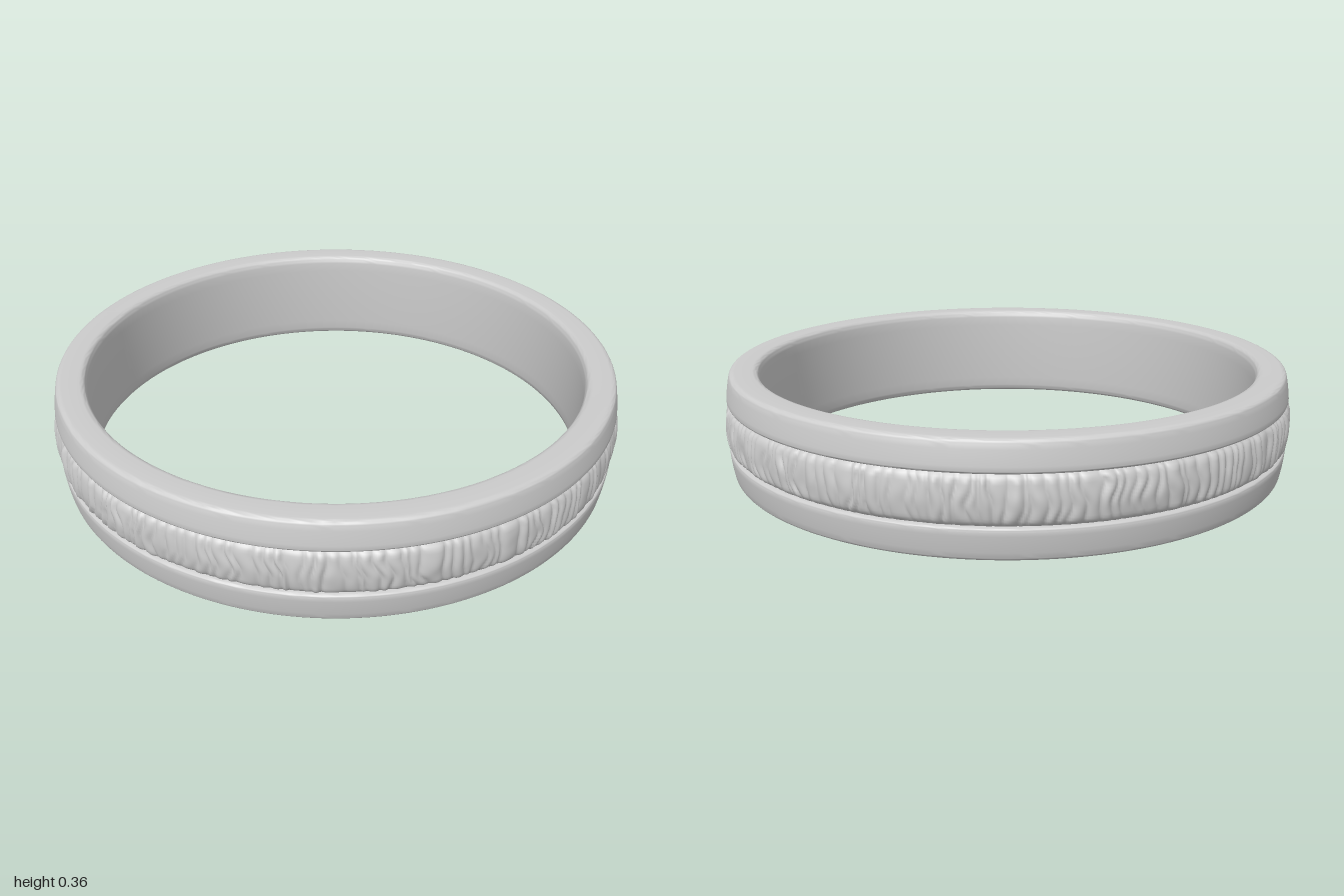
import * as THREE from 'three';
import { mergeVertices, toCreasedNormals } from 'three/addons/utils/BufferGeometryUtils.js';

const HEIGHT = 0.36, INNER = 0.87;
const BAND_LOW = 0.105, BAND_HIGH = 0.262;
const RIDGES = 170;

// Repeatable value in 0..1 for a pair of integers
function hash(i, j = 0) {
  const s = Math.sin(i * 127.1 + j * 311.7 + 17.3) * 43758.5453;
  return s - Math.floor(s);
}

// Smooth noise that wraps around the ring after n cells
function ringNoise(u, v, n) {
  const i = Math.floor(u), j = Math.floor(v);
  const fu = THREE.MathUtils.smoothstep(u - i, 0, 1), fv = THREE.MathUtils.smoothstep(v - j, 0, 1);
  const at = (a, b) => hash(((a % n) + n) % n, b);
  return THREE.MathUtils.lerp(
    THREE.MathUtils.lerp(at(i, j), at(i + 1, j), fu),
    THREE.MathUtils.lerp(at(i, j + 1), at(i + 1, j + 1), fu), fv);
}

// Height (0..1) of the irregular upright ridges; turn and up both run 0..1
function ridgeHeight(turn, up) {
  const wobble = ringNoise(turn * 90, up * 2.5, 90) - 0.5;
  const u = turn * RIDGES + wobble * 1.1;
  const wrap = i => ((i % RIDGES) + RIDGES) % RIDGES;
  const edge = i => i + (hash(wrap(i), 5) - 0.5) * 0.6;
  let k = Math.floor(u);
  if (u < edge(k)) k--;
  else if (u >= edge(k + 1)) k++;
  const t = (u - edge(k)) / (edge(k + 1) - edge(k));
  const bump = Math.pow(Math.max(0, Math.sin(Math.PI * t)), 0.7);
  return bump * (0.45 + 0.55 * hash(wrap(k), 9)) * (0.7 + 0.3 * ringNoise(turn * 120, up * 4 + 20, 120));
}

// Plain ring: rounded rims, a recessed channel outside, softly rounded bore
function ringBody() {
  const p = new THREE.Path();
  p.moveTo(0.955, 0);
  p.quadraticCurveTo(0.973, 0, 0.976, 0.016);
  p.quadraticCurveTo(0.984, 0.055, 0.987, BAND_LOW - 0.012);
  p.quadraticCurveTo(0.987, BAND_LOW - 0.002, 0.978, BAND_LOW);
  p.lineTo(0.965, BAND_LOW + 0.002);
  p.lineTo(0.965, BAND_HIGH - 0.002);
  p.lineTo(0.978, BAND_HIGH);
  p.quadraticCurveTo(0.987, BAND_HIGH + 0.002, 0.987, BAND_HIGH + 0.012);
  p.quadraticCurveTo(0.984, HEIGHT - 0.055, 0.976, HEIGHT - 0.016);
  p.quadraticCurveTo(0.973, HEIGHT, 0.955, HEIGHT);
  p.lineTo(INNER + 0.026, HEIGHT);
  p.quadraticCurveTo(INNER + 0.005, HEIGHT, INNER + 0.002, HEIGHT - 0.026);
  p.lineTo(INNER, HEIGHT - 0.06);
  p.lineTo(INNER, 0.06);
  p.lineTo(INNER + 0.002, 0.026);
  p.quadraticCurveTo(INNER + 0.005, 0, INNER + 0.026, 0);
  p.lineTo(0.955, 0);
  return toCreasedNormals(new THREE.LatheGeometry(p.getPoints(6), 192), 0.6);
}

// Domed band whose surface is pushed outward into ridges
function texturedBand() {
  const rows = 16, profile = [];
  for (let i = 0; i <= rows; i++) {
    const up = i / rows;
    const dome = Math.pow(Math.sin(Math.PI * up), 0.5);
    profile.push(new THREE.Vector2(0.968 + 0.018 * dome, THREE.MathUtils.lerp(BAND_LOW, BAND_HIGH, up)));
  }
  let g = new THREE.LatheGeometry(profile, 1200);
  const pos = g.attributes.position;
  for (let i = 0; i < pos.count; i++) {
    const x = pos.getX(i), y = pos.getY(i), z = pos.getZ(i);
    const up = (y - BAND_LOW) / (BAND_HIGH - BAND_LOW);
    const turn = Math.atan2(x, z) / (2 * Math.PI) + 0.5;
    const fade = THREE.MathUtils.smoothstep(Math.min(up, 1 - up), -0.04, 0.12);
    const r = Math.hypot(x, z);
    const s = (r + 0.015 * fade * ridgeHeight(turn, up)) / r;
    pos.setXYZ(i, x * s, y, z * s);
  }
  // Weld the seam so shading runs unbroken around the ring
  g.deleteAttribute('uv');
  g.deleteAttribute('normal');
  g = mergeVertices(g, 1e-5);
  g.computeVertexNormals();
  return g;
}

export function createModel() {
  const group = new THREE.Group();
  group.name = 'ring';
  const material = new THREE.MeshStandardMaterial({ color: 0xcccccc });
  const add = (name, geometry) => {
    const mesh = new THREE.Mesh(geometry, material);
    mesh.name = name;
    group.add(mesh);
  };
  add('ringBody', ringBody());
  add('texturedBand', texturedBand());
  return group;
}
